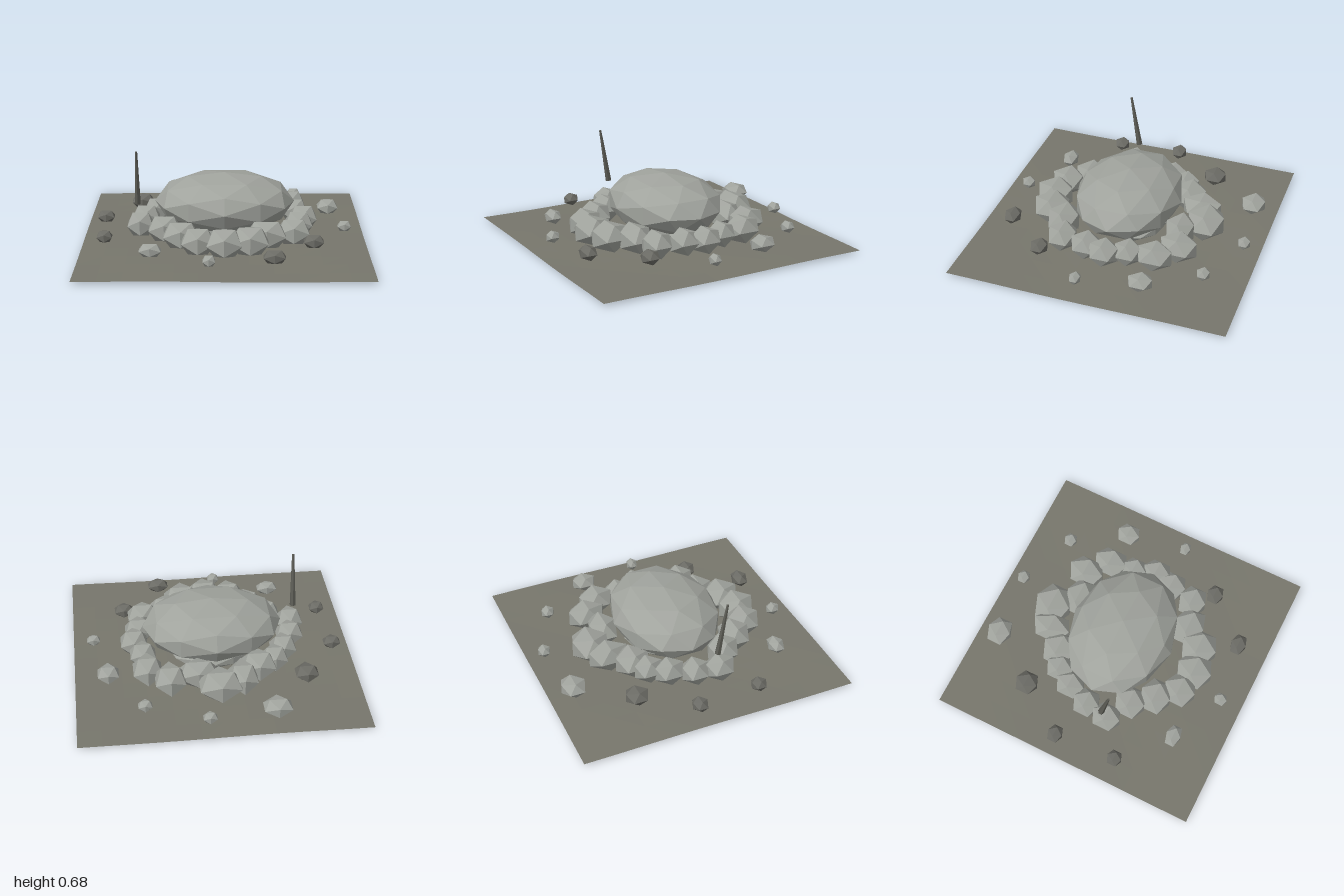
import * as THREE from 'three';

const paint = (name, color, extra = {}) =>
  Object.assign(new THREE.MeshStandardMaterial({ color, flatShading: true, ...extra }), { name });

export function createModel() {
  const paleStone = paint('pale stone', 0xa0a39d);
  const darkStone = paint('dark stone', 0x6b6b65);
  const sand = paint('ground', 0x77766c, { side: THREE.DoubleSide });
  const wood = paint('stake', 0x5c5c55);

  const model = new THREE.Group();
  model.name = 'stoneRing';
  const add = (name, geometry, material, parent = model) => {
    const mesh = new THREE.Mesh(geometry, material);
    mesh.name = name;
    parent.add(mesh);
    return mesh;
  };

  // Gently rippled ground sheet
  const ground = new THREE.PlaneGeometry(2, 2, 12, 12).rotateX(-Math.PI / 2);
  const p = ground.attributes.position;
  for (let i = 0; i < p.count; i++) {
    const x = p.getX(i), z = p.getZ(i);
    p.setY(i, 0.015 + 0.003 * Math.sin(x * 5) * Math.cos(z * 4) + 0.002 * Math.sin(x * 3 + z * 4));
  }
  add('ground', ground, sand);

  // Large domed boulder
  const dome = add('domeBoulder', new THREE.IcosahedronGeometry(1, 1), paleStone);
  dome.scale.set(0.5, 0.211, 0.387);
  dome.position.y = 0.262;

  // Low rock that carries the boulder
  const base = add('baseRock', new THREE.IcosahedronGeometry(1, 1), paleStone);
  base.scale.set(0.3, 0.09, 0.26);
  base.position.set(0.02, 0.09, -0.04);

  // A faceted stone given by its centre and half sizes
  const stoneShape = new THREE.IcosahedronGeometry(1, 0);
  const reach = 0.851; // how far the unit shape extends along each axis
  const addStone = (name, [x, z, hx, hz], y, hy, material, parent) => {
    const stone = add(name, stoneShape, material, parent);
    stone.position.set(x, y, z);
    stone.scale.set(hx / reach, hy / reach, hz / reach);
  };

  // Ring of stones: x, z, half width, half depth
  const ring = new THREE.Group();
  ring.name = 'ringStones';
  model.add(ring);
  [
    [0, -0.575, 0.145, 0.13], [-0.165, -0.5, 0.1, 0.14],
    [-0.29, -0.37, 0.12, 0.12], [-0.415, -0.3, 0.09, 0.1],
    [-0.495, -0.175, 0.09, 0.105], [-0.565, -0.01, 0.095, 0.095],
    [-0.595, 0.165, 0.09, 0.105], [-0.42, 0.27, 0.11, 0.11],
    [-0.3, 0.415, 0.12, 0.11], [-0.18, 0.55, 0.11, 0.115],
    [0, 0.58, 0.12, 0.13], [0.175, 0.535, 0.125, 0.13],
    [0.29, 0.4, 0.135, 0.11], [0.48, 0.335, 0.11, 0.1],
    [0.525, 0.145, 0.095, 0.105], [0.565, 0, 0.095, 0.105],
    [0.51, -0.16, 0.09, 0.095], [0.49, -0.345, 0.1, 0.125],
    [0.34, -0.475, 0.105, 0.13], [0.14, -0.425, 0.135, 0.1],
  ].forEach((s) => addStone('ringStone', s, 0.135, 0.05 + 0.18 * (s[2] + s[3]), paleStone, ring));

  // Loose stones scattered around the ring
  const scatter = new THREE.Group();
  scatter.name = 'looseStones';
  model.add(scatter);
  const addLoose = (s, material) =>
    addStone('looseStone', s, 0.085 + 0.18 * (s[2] + s[3]), 0.02 + 0.2 * (s[2] + s[3]), material, scatter);
  [
    [-0.36, -0.835, 0.096, 0.085], [0.105, -0.885, 0.047, 0.043],
    [0.53, -0.71, 0.048, 0.045], [0.765, -0.335, 0.074, 0.085],
    [0.855, 0.1, 0.047, 0.038], [-0.1, 0.84, 0.042, 0.047],
    [-0.5, 0.655, 0.075, 0.053],
  ].forEach((s) => addLoose(s, paleStone));
  [
    [0.615, 0.46, 0.068, 0.059], [0.335, 0.78, 0.074, 0.055],
    [-0.835, 0.35, 0.053, 0.053], [-0.865, -0.11, 0.06, 0.053],
    [-0.62, -0.47, 0.079, 0.08],
  ].forEach((s) => addLoose(s, darkStone));

  // Thin tapered stake leaning towards the front
  const stake = add('stake', new THREE.CylinderGeometry(0.009, 0.023, 0.4, 6), wood);
  stake.position.set(-0.615, 0.477, 0.168);
  stake.rotation.x = 0.16;

  return model;
}
